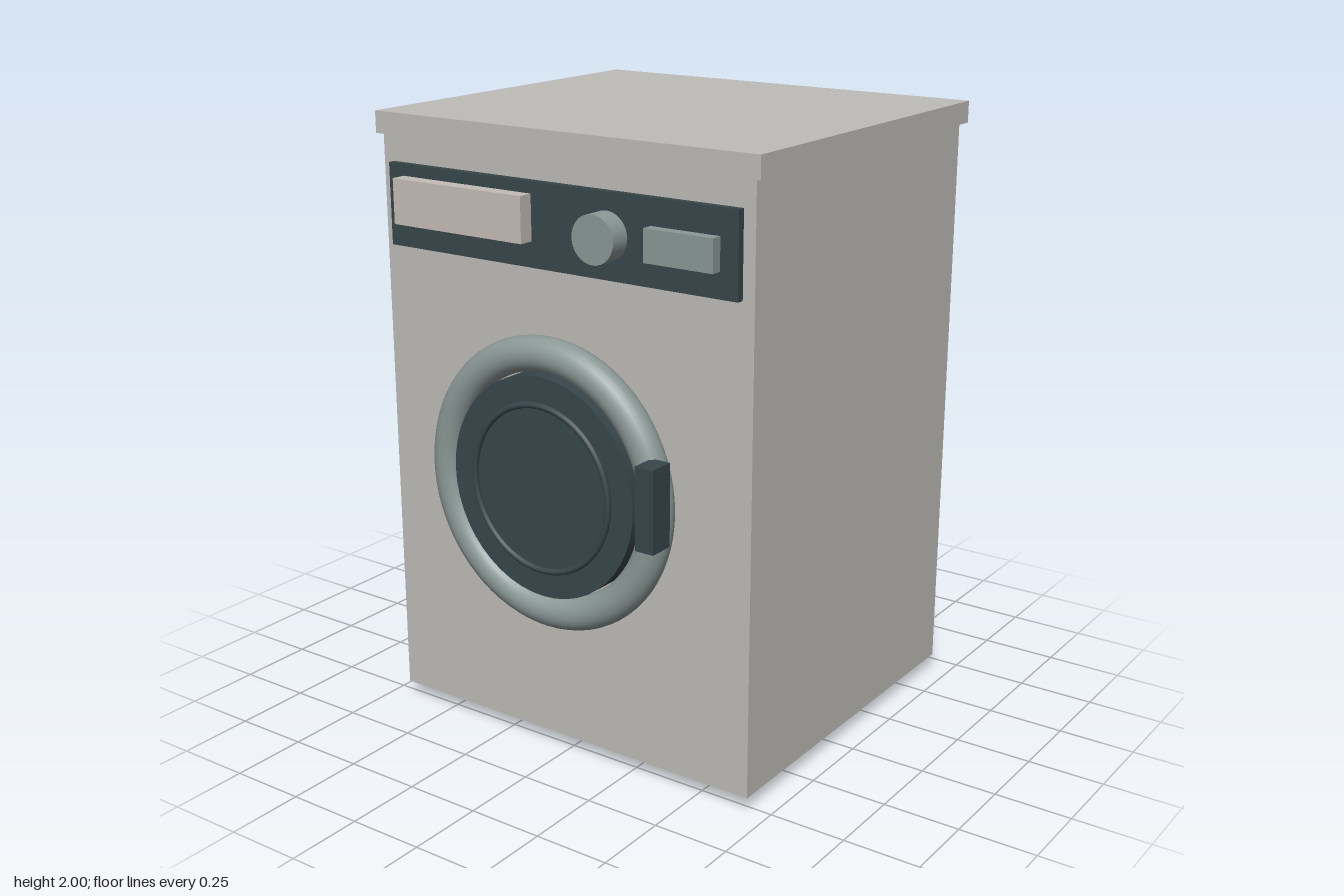
import * as THREE from 'three';

export function createModel() {
  const model = new THREE.Group();
  model.name = 'washingMachine';

  const material = (name, color) => {
    const m = new THREE.MeshStandardMaterial({ color });
    m.name = name;
    return m;
  };
  const enamel = material('enamel', 0xbebcb8);
  const drawerWhite = material('drawerWhite', 0xc4bcb6);
  const dark = material('darkSlate', 0x37464b);
  const steel = material('steel', 0x8a9896);

  const add = (name, geometry, mat) => {
    const mesh = new THREE.Mesh(geometry, mat);
    mesh.name = name;
    model.add(mesh);
    return mesh;
  };

  // Box given by its limits on each axis
  const box = (name, mat, [x0, x1], [y0, y1], [z0, z1]) =>
    add(name, new THREE.BoxGeometry(x1 - x0, y1 - y0, z1 - z0), mat)
      .position.set((x0 + x1) / 2, (y0 + y1) / 2, (z0 + z1) / 2);

  // Disc facing the front, from z0 to z1
  const disc = (name, mat, r, x, y, z0, z1, sx = 1) => {
    const geometry = new THREE.CylinderGeometry(r, r, z1 - z0, 48).rotateX(Math.PI / 2);
    geometry.scale(sx, 1, 1);
    add(name, geometry, mat).position.set(x, y, (z0 + z1) / 2);
  };

  // Cabinet and worktop
  box('cabinet', enamel, [-0.685, 0.685], [0.05, 1.93], [-0.685, 0.535]);
  box('worktop', enamel, [-0.705, 0.705], [1.93, 2], [-0.705, 0.548]);

  // Control panel
  box('controlPanel', dark, [-0.645, 0.645], [1.587, 1.847], [0.53, 0.559]);
  box('detergentDrawer', drawerWhite, [-0.586, -0.082], [1.667, 1.81], [0.55, 0.608]);
  box('display', steel, [0.35, 0.585], [1.666, 1.766], [0.55, 0.595]);
  disc('programKnob', steel, 0.074, 0.195, 1.718, 0.55, 0.627);

  // Door, slightly taller than wide
  const doorY = 0.93, squash = 0.97;
  const rim = add('doorRim', new THREE.TorusGeometry(0.412, 0.055, 24, 72), steel);
  rim.scale.set(squash, 1, 0.92);
  rim.position.set(0, doorY, 0.598);
  disc('doorGlass', dark, 0.353, 0, doorY, 0.55, 0.64, squash);
  const ring = add('glassRing', new THREE.TorusGeometry(0.264, 0.01, 12, 64), dark);
  ring.scale.set(squash, 1, 1);
  ring.position.set(0, doorY, 0.646);
  box('doorHandle', dark, [0.398, 0.462], [0.843, 1.102], [0.623, 0.707]);

  // Feet
  for (const x of [-0.508, 0.508]) {
    for (const z of [0.372, -0.528]) {
      const foot = add('foot', new THREE.CylinderGeometry(0.057, 0.057, 0.055, 24), dark);
      foot.position.set(x, 0.0275, z);
    }
  }

  return model;
}
